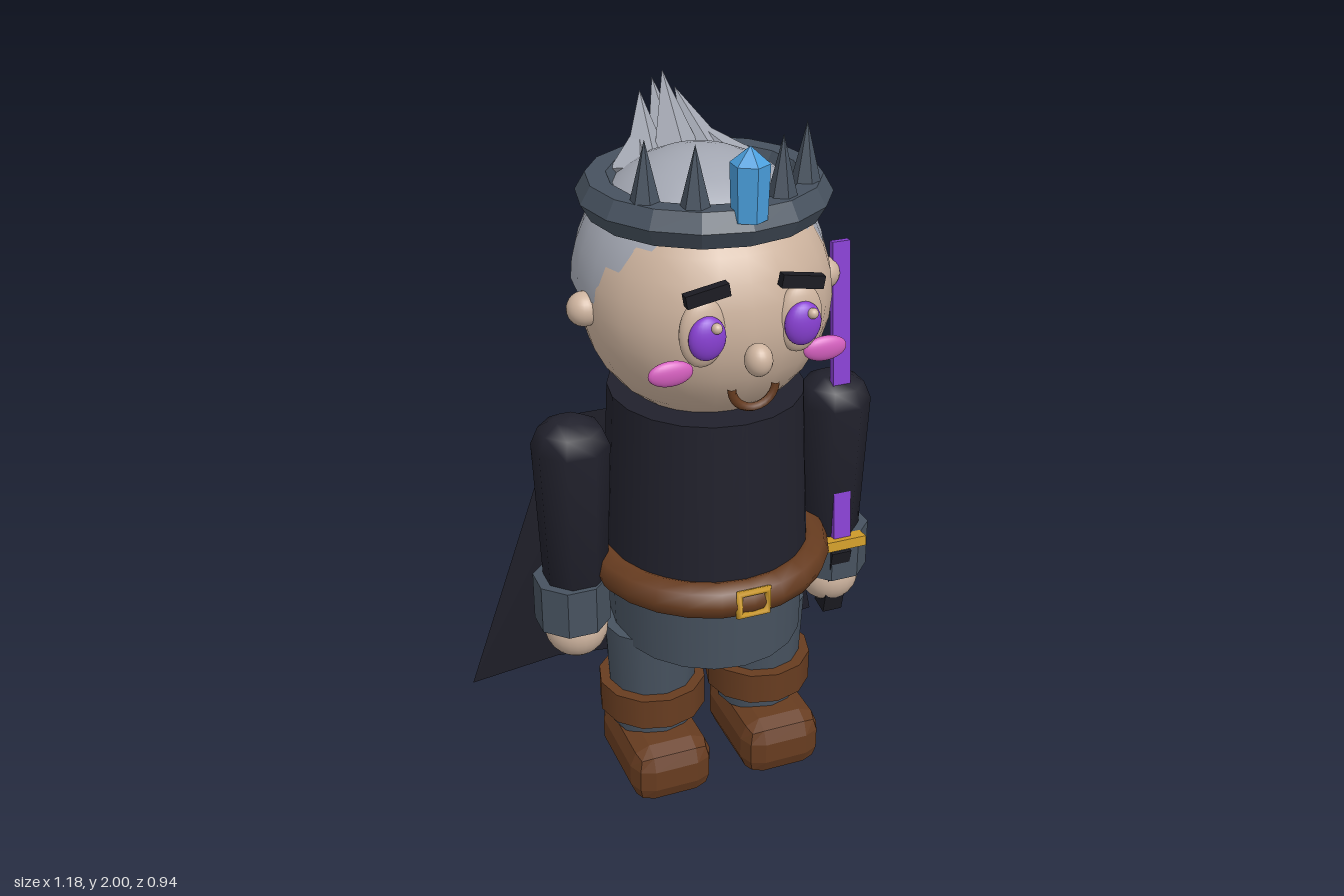
import * as THREE from 'three';
import { RoundedBoxGeometry } from 'three/addons/geometries/RoundedBoxGeometry.js';

const mat = (name, color, extra = {}) => {
  const m = new THREE.MeshStandardMaterial({ color, ...extra });
  m.name = name;
  return m;
};

// Faceted normals for low-poly parts
const flat = (geo) => {
  const g = geo.index ? geo.toNonIndexed() : geo;
  g.computeVertexNormals();
  return g;
};

export function createModel() {
  const skin = mat('skin', 0xcdb39e);
  const hair = mat('silver hair', 0xa3a7b2);
  const cloth = mat('dark cloth', 0x21212c, { side: THREE.DoubleSide });
  const slate = mat('slate', 0x47525f);
  const brown = mat('brown leather', 0x673c20);
  const gold = mat('gold', 0xd09c2a);
  const purple = mat('purple', 0x8840d2);
  const pink = mat('pink', 0xd45fbe);
  const blue = mat('crystal blue', 0x4a9edc);
  const black = mat('black', 0x1b1b22);

  const model = new THREE.Group();
  model.name = 'figure';
  const add = (name, geo, material, x, y, z, parent = model) => {
    const m = new THREE.Mesh(geo, material);
    m.name = name;
    m.position.set(x, y, z);
    parent.add(m);
    return m;
  };
  const ball = (name, material, x, y, z, rx, ry = rx, rz = rx) => {
    const m = add(name, new THREE.SphereGeometry(1, 24, 16), material, x, y, z);
    m.scale.set(rx, ry, rz);
    return m;
  };
  const tube = (rTop, rBottom, h, sides = 8, open = false) =>
    new THREE.CylinderGeometry(rTop, rBottom, h, sides, 1, open);
  const Z = 0.075; // depth of the body axis

  // Coat, tunic skirt and belt
  const coat = add('coat', tube(0.28, 0.305, 0.52, 20), cloth, 0, 0.968, Z);
  coat.scale.x = 0.95;
  const skirt = add('tunicSkirt', tube(0.305, 0.298, 0.25, 20), slate, 0, 0.612, Z);
  skirt.scale.x = 0.91;
  const belt = add('belt', new THREE.TorusGeometry(0.308, 0.052, 8, 24), brown, 0, 0.727, 0.08);
  belt.rotation.x = Math.PI / 2;
  belt.scale.x = 0.97;
  const buckle = add('buckle', new THREE.TorusGeometry(0.05, 0.012, 6, 4, Math.PI * 2), gold, 0, 0.73, 0.427);
  buckle.geometry.rotateZ(Math.PI / 4);
  buckle.scale.set(1.15, 0.95, 1);

  // Legs, boots and arms
  for (const s of [-1, 1]) {
    const side = s > 0 ? 'left' : 'right';
    add(side + 'Leg', tube(0.137, 0.12, 0.34, 12), slate, s * 0.167, 0.34, Z);
    add(side + 'BootCuff', tube(0.156, 0.156, 0.095, 12), brown, s * 0.168, 0.272, 0.08);
    add(side + 'Boot', flat(new RoundedBoxGeometry(0.245, 0.18, 0.355, 1, 0.058)), brown, s * 0.172, 0.09, 0.12);

    const armProfile = [[0, 0.68], [0.09, 0.68], [0.107, 1.11], [0.086, 1.16], [0.042, 1.185], [0, 1.19]]
      .map(([r, y]) => new THREE.Vector2(r, y));
    const arm = add(side + 'Arm', new THREE.LatheGeometry(armProfile, 8), cloth, s * 0.387, 0, Z);
    arm.rotation.y = Math.PI / 8;
    const cuff = add(side + 'SleeveCuff', flat(tube(0.107, 0.107, 0.143)), slate, s * 0.4, 0.632, Z);
    cuff.rotation.y = Math.PI / 8;
    ball(side + 'Hand', skin, s * 0.392, 0.54, 0.08, 0.09);
  }

  // Sword in the left hand, leaning slightly back
  const sword = new THREE.Group();
  sword.name = 'sword';
  sword.position.set(0.385, 0.69, 0.17);
  sword.rotation.x = -0.1;
  model.add(sword);
  add('blade', new THREE.BoxGeometry(0.052, 0.89, 0.02), purple, 0, 0.45, 0, sword);
  add('guard', new THREE.BoxGeometry(0.135, 0.03, 0.05), gold, 0, 0, 0.003, sword);
  const grip = add('grip', new THREE.BoxGeometry(0.06, 0.23, 0.06), black, 0.385, 0.55, 0.13);
  grip.rotation.x = 0.2;

  // Cape: a sheet flaring downward, its lower edge waving in depth
  const capeGeo = new THREE.PlaneGeometry(1, 1, 4, 1);
  const p = capeGeo.attributes.position;
  for (let i = 0; i < p.count; i++) {
    const u = p.getX(i) * 2, low = p.getY(i) < 0;
    p.setXYZ(i, u * (low ? 0.59 : 0.33), low ? 0.04 : 1.03,
      low ? -0.43 + 0.045 * Math.sin(u * Math.PI) : -0.243);
  }
  add('cape', flat(capeGeo), cloth, 0, 0, 0);

  // Head and face
  ball('head', skin, 0, 1.5, 0.07, 0.335);
  ball('nose', skin, 0, 1.443, 0.427, 0.036, 0.043, 0.038);
  for (const s of [-1, 1]) {
    const side = s > 0 ? 'left' : 'right';
    ball(side + 'Ear', skin, s * 0.338, 1.495, 0.08, 0.046);
    ball(side + 'EyeSocket', skin, s * 0.13, 1.517, 0.378, 0.062, 0.092, 0.03);
    ball(side + 'Iris', purple, s * 0.128, 1.512, 0.405, 0.049, 0.058, 0.027);
    ball(side + 'EyeGlint', skin, s * 0.128 + 0.016, 1.545, 0.428, 0.014);
    ball(side + 'Cheek', pink, s * 0.21, 1.415, 0.368, 0.06, 0.034, 0.018);
    const brow = add(side + 'Eyebrow', new THREE.BoxGeometry(0.115, 0.034, 0.026), black, s * 0.126, 1.623, 0.395);
    brow.rotation.z = -s * 0.17;
  }
  const mouth = add('mouth', new THREE.TorusGeometry(0.06, 0.012, 6, 12, Math.PI), brown, 0, 1.362, 0.4);
  mouth.rotation.z = Math.PI;

  // Hair cap and swept-back spikes
  const cap = add('hairCap',
    new THREE.SphereGeometry(0.345, 24, 10, 0, Math.PI * 2, 0, Math.PI / 2), hair, 0, 1.525, 0.03);
  cap.scale.x = 0.985;
  const spike = (from, to, r) => {
    const a = new THREE.Vector3(...from), b = new THREE.Vector3(...to);
    const d = b.clone().sub(a), len = d.length();
    const m = add('hairSpike', flat(new THREE.ConeGeometry(r, len, 5)), hair, 0, 0, 0);
    m.position.copy(a).addScaledVector(d, 0.5);
    m.quaternion.setFromUnitVectors(new THREE.Vector3(0, 1, 0), d.normalize());
  };
  spike([0, 1.77, -0.13], [0, 2.0, -0.24], 0.08);
  spike([0, 1.73, -0.18], [0, 1.96, -0.32], 0.08);
  for (const s of [-1, 1]) {
    spike([s * 0.09, 1.76, -0.12], [s * 0.05, 1.94, -0.28], 0.075);
    spike([s * 0.15, 1.76, -0.08], [s * 0.07, 1.87, -0.23], 0.07);
  }

  // Crown: faceted band, four points and a front crystal
  const band = add('crownBand', flat(new THREE.TorusGeometry(0.278, 0.054, 6, 16)), slate, 0, 1.765, 0.06);
  band.rotation.x = Math.PI / 2;
  for (const s of [-1, 1])
    for (const [x, z] of [[0.215, 0.212], [0.115, 0.292]])
      add('crownPoint', flat(new THREE.ConeGeometry(0.044, 0.18, 6)), slate, s * x, 1.875, z);
  add('crystal', flat(tube(0.05, 0.045, 0.14, 6)), blue, 0, 1.855, 0.355);
  add('crystalTip', flat(new THREE.ConeGeometry(0.05, 0.042, 6)), blue, 0, 1.946, 0.355);

  return model;
}
